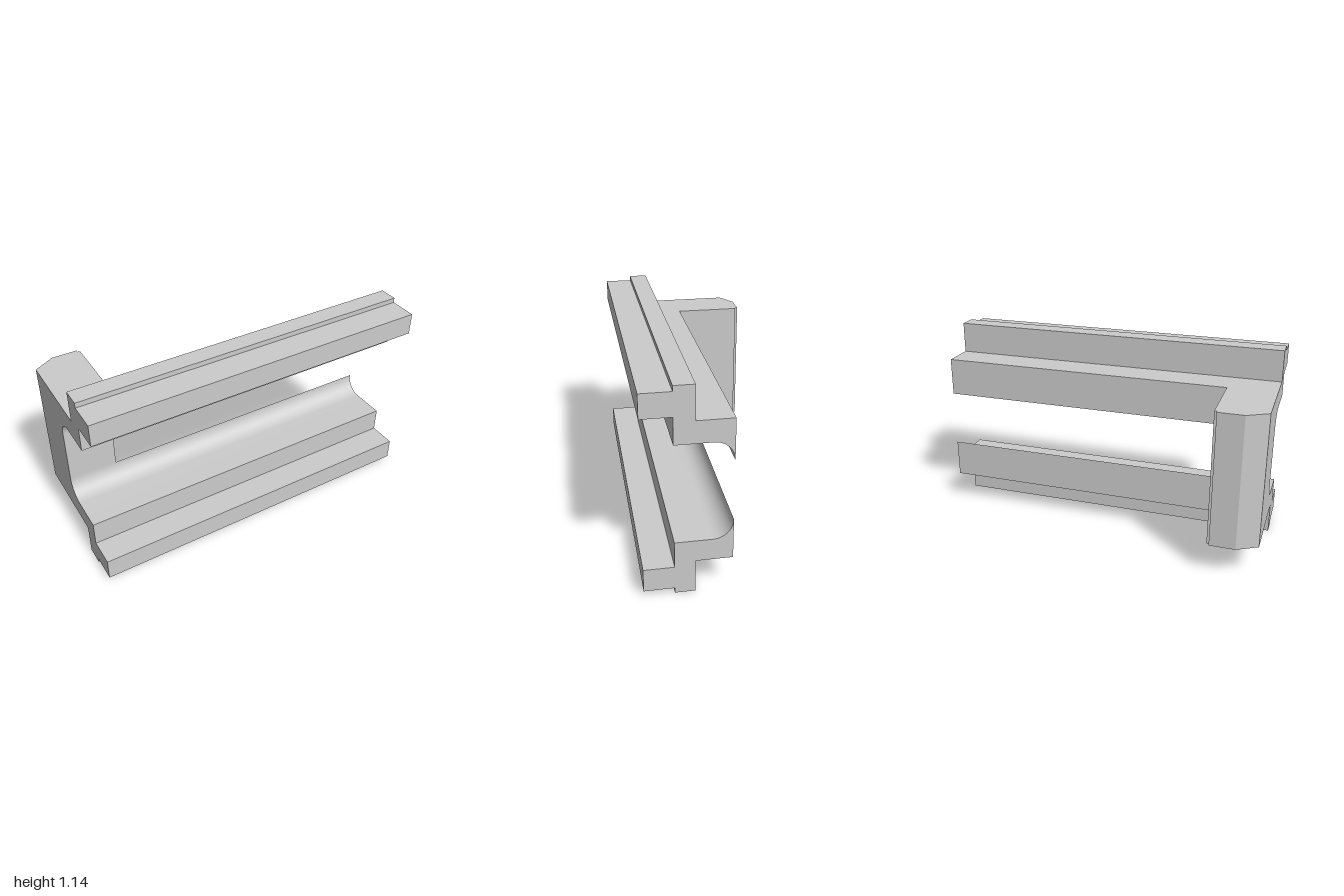
import * as THREE from 'three';
import { toCreasedNormals } from 'three/addons/utils/BufferGeometryUtils.js';

const HEIGHT = 1.145;

// Stepped rail cross-section drawn in (-z, y); mirrored top to bottom for the lower rail
function railGeometry(upper) {
  const y = (v) => (upper ? v : HEIGHT - v);
  const radius = 0.105, cz = 0.075, cy = 0.738;
  const points = [
    [0.43, 0.988], [0.43, 1.116], [0.27, 1.116], [0.27, HEIGHT],
    [0.163, HEIGHT], [0.163, 0.962], [-0.03, 0.962],
  ];
  // Concave fillet on the inner side
  for (let i = 0; i <= 16; i++) {
    const a = (i / 16) * Math.PI / 2;
    points.push([cz - radius * Math.cos(a), cy + radius * Math.sin(a)]);
  }
  points.push([0.27, 0.843], [0.27, 0.988]);

  const shape = new THREE.Shape(points.map(([z, h]) => new THREE.Vector2(-z, y(h))));
  const geometry = new THREE.ExtrudeGeometry(shape, { depth: 2, bevelEnabled: false });
  geometry.rotateY(Math.PI / 2).translate(-1, 0, 0);
  return toCreasedNormals(geometry, 0.5);
}

// Rear post with a chamfered corner and a small notch, drawn in plan (x, -z)
function postGeometry() {
  const plan = [
    [-1, 0.03], [-0.72, 0.03], [-0.72, 0.413], [-0.735, 0.413],
    [-0.735, 0.43], [-0.882, 0.43], [-1, 0.363],
  ].map(([x, d]) => new THREE.Vector2(x, d));
  const geometry = new THREE.ExtrudeGeometry(new THREE.Shape(plan), {
    depth: 0.962 - 0.183, bevelEnabled: false,
  });
  return geometry.rotateX(-Math.PI / 2).translate(0, 0.183, 0);
}

export function createModel() {
  const group = new THREE.Group();
  group.name = 'railBracket';
  const material = new THREE.MeshStandardMaterial({ color: 0xcccccc });
  const add = (name, geometry) => {
    const mesh = new THREE.Mesh(geometry, material);
    mesh.name = name;
    group.add(mesh);
  };
  add('upperRail', railGeometry(true));
  add('lowerRail', railGeometry(false));
  add('endPost', postGeometry());
  return group;
}
